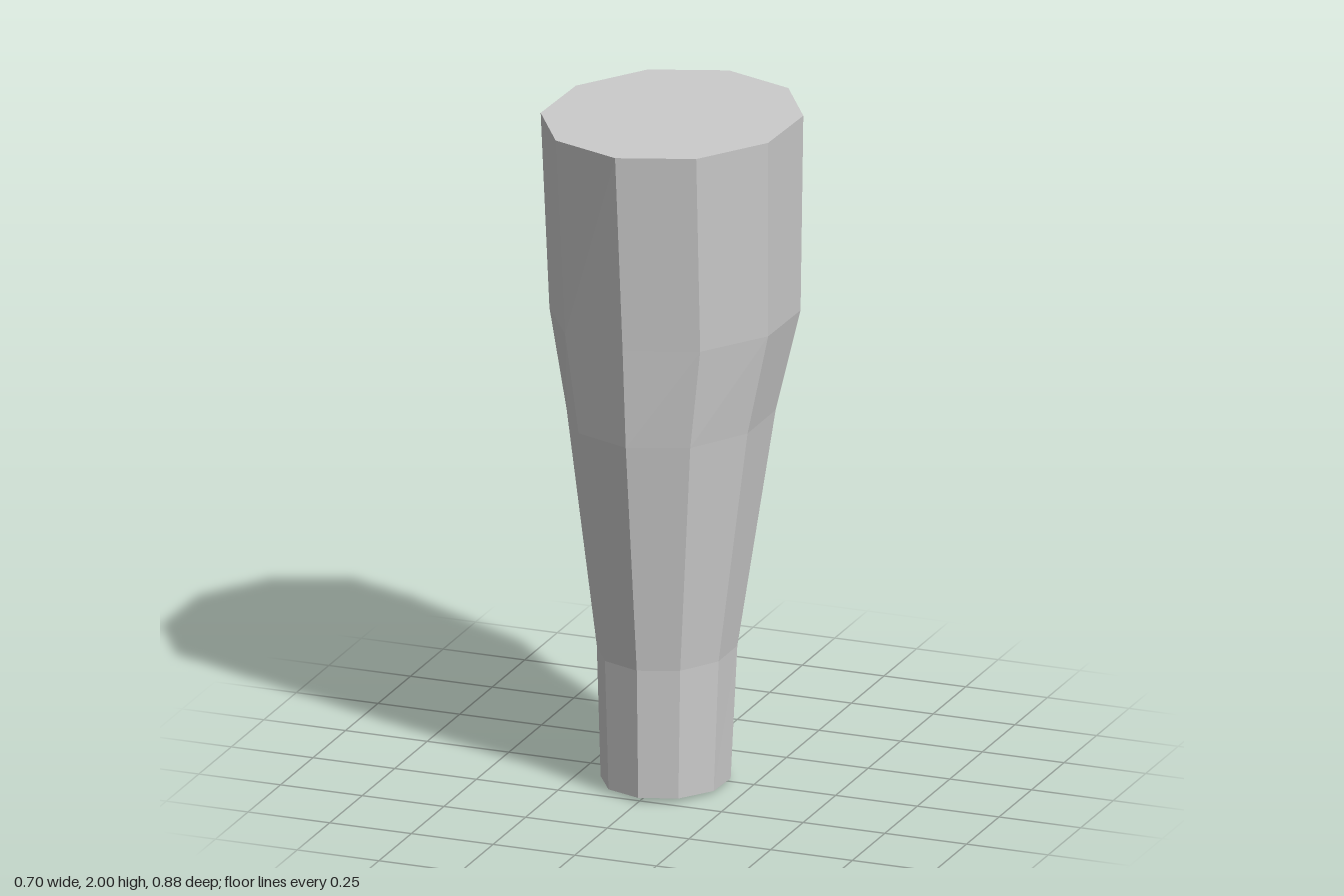
import * as THREE from 'three';

// Cross-sections from bottom to top: half-width in x, then [z, y] of the front and back points
const rings = [
  { rx: 0.182, front: [0.262, 0.013], back: [-0.16, 0] },
  { rx: 0.196, front: [0.273, 0.4], back: [-0.193, 0.4] },
  { rx: 0.291, front: [0.358, 1.1], back: [-0.341, 1.1] },
  { rx: 0.352, front: [0.382, 1.4], back: [-0.424, 1.39] },
  { rx: 0.366, front: [0.44, 2.0], back: [-0.436, 1.978] },
];

export function createModel() {
  const group = new THREE.Group();
  group.name = 'taperedLimb';

  // Ten-sided capped tube, each row reshaped to its slightly tilted oval section
  const steps = rings.length - 1;
  const geometry = new THREE.CylinderGeometry(1, 1, 1, 10, steps);
  const pos = geometry.attributes.position;
  for (let i = 0; i < pos.count; i++) {
    const { rx, front, back } = rings[Math.round((pos.getY(i) + 0.5) * steps)];
    const t = (pos.getZ(i) + 1) / 2;
    pos.setXYZ(
      i,
      pos.getX(i) * rx,
      THREE.MathUtils.lerp(back[1], front[1], t),
      THREE.MathUtils.lerp(back[0], front[0], t)
    );
  }
  geometry.computeVertexNormals();

  const limb = new THREE.Mesh(
    geometry,
    new THREE.MeshStandardMaterial({ color: 0xcccccc, flatShading: true })
  );
  limb.name = 'limb';
  group.add(limb);
  return group;
}
